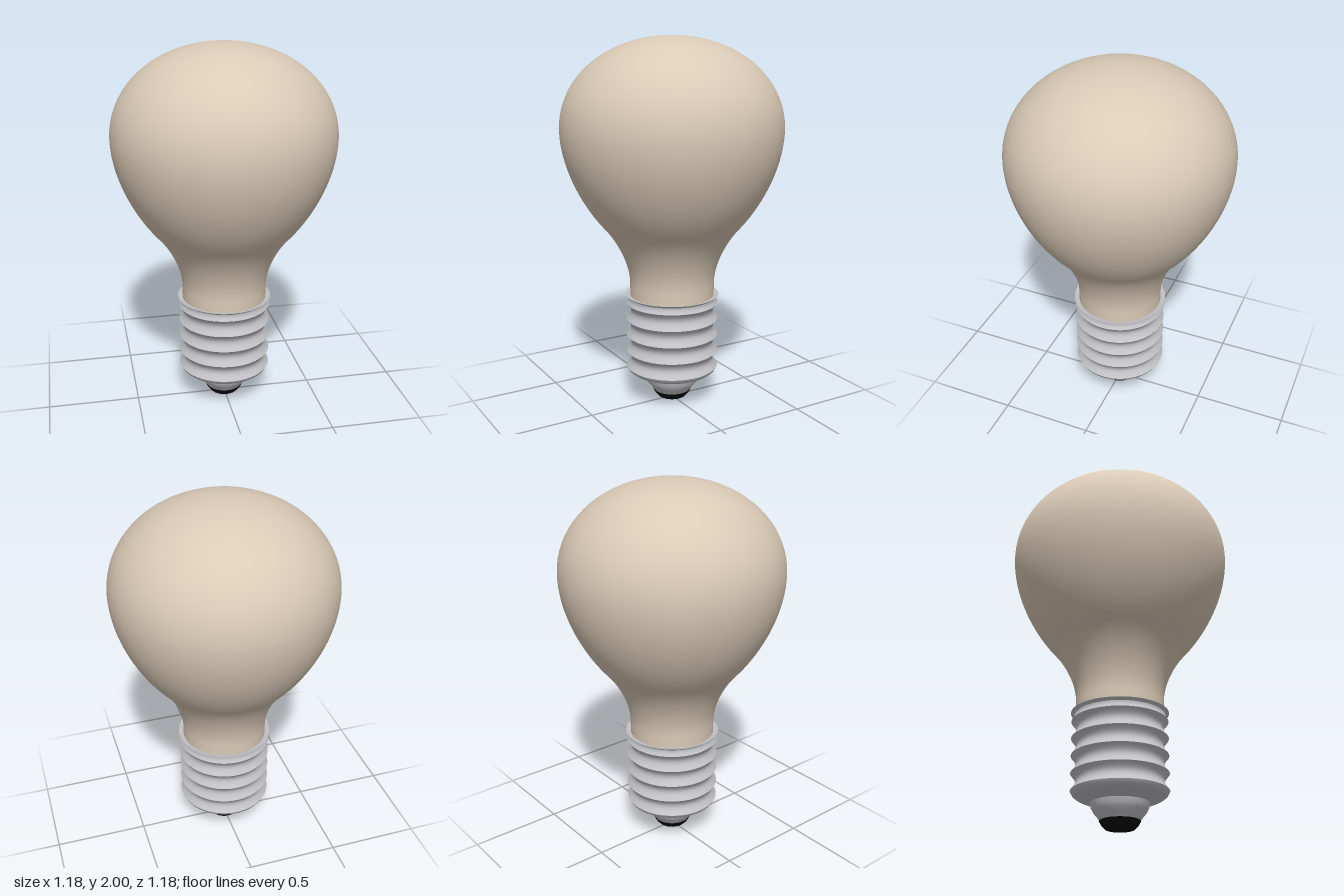
import * as THREE from 'three';
import { mergeGeometries } from 'three/addons/utils/BufferGeometryUtils.js';

const SEGMENTS = 96;
const v = (x, y) => new THREE.Vector2(x, y);
const lathe = (points) => new THREE.LatheGeometry(points, SEGMENTS);
const material = (name, color) => {
  const m = new THREE.MeshStandardMaterial({ color });
  m.name = name;
  return m;
};

export function createModel() {
  const group = new THREE.Group();
  group.name = 'lightBulb';
  const glass = material('warm frosted glass', 0xdacab6);
  const metal = material('grey metal', 0xc2c2c6);
  const black = material('black contact', 0x0a0a0a);

  const add = (name, geometries, mat) => {
    const mesh = new THREE.Mesh(mergeGeometries(geometries), mat);
    mesh.name = name;
    group.add(mesh);
  };

  // Glass envelope: straight neck, flared shoulder and flattened dome
  const profile = new THREE.CurvePath();
  const bezier = (a, b, c, d) => profile.add(new THREE.CubicBezierCurve(v(...a), v(...b), v(...c), v(...d)));
  profile.add(new THREE.LineCurve(v(0.23, 0.59), v(0.23, 0.67)));
  bezier([0.23, 0.67], [0.23, 0.78], [0.295, 0.91], [0.372, 0.995]);
  bezier([0.372, 0.995], [0.48, 1.115], [0.592, 1.32], [0.592, 1.52]);
  bezier([0.592, 1.52], [0.592, 1.79], [0.335, 2], [0, 2]);
  const outline = profile.curves.flatMap((c, i) => {
    const pts = c.getPoints(i === 0 ? 2 : 20);
    return i === 0 ? pts : pts.slice(1);
  });
  outline[outline.length - 1].x = 0;
  add('glassBulb', [lathe(outline)], glass);

  // Screw threads: hollow grooves between sharp ridges
  const ridges = [0.198, 0.289, 0.381, 0.473, 0.565];
  const threads = ridges.slice(1).map((top, i) => {
    const bottom = ridges[i];
    const points = [];
    for (let k = 0; k <= 12; k++) {
      const t = k / 12;
      points.push(v(0.252 - 0.025 * Math.sin(Math.PI * t), bottom + (top - bottom) * t));
    }
    return lathe(points);
  });
  add('screwThreads', threads, metal);

  // Flared lip and the flat ledge that closes it against the glass
  add('screwRim', [
    lathe([v(0.252, 0.565), v(0.242, 0.578), v(0.239, 0.59), v(0.24, 0.599)]),
    lathe([v(0.24, 0.599), v(0.256, 0.612)]),
    lathe([v(0.256, 0.612), v(0.225, 0.606)]),
  ], metal);

  // Rounded shoulder below the threads, then the tapering insulator cup
  add('lowerShoulder', [
    lathe([v(0.152, 0.138), v(0.19, 0.152), v(0.225, 0.167), v(0.243, 0.181), v(0.252, 0.198)]),
    lathe([v(0.1, 0.05), v(0.115, 0.07), v(0.135, 0.094), v(0.146, 0.115), v(0.152, 0.138)]),
  ], metal);

  // Electrical contact at the foot
  add('footContact', [
    lathe([v(0, 0), v(0.04, 0.003), v(0.076, 0.011)]),
    lathe([v(0.076, 0.011), v(0.092, 0.028), v(0.105, 0.05)]),
    lathe([v(0.105, 0.05), v(0.095, 0.051)]),
  ], black);

  return group;
}
